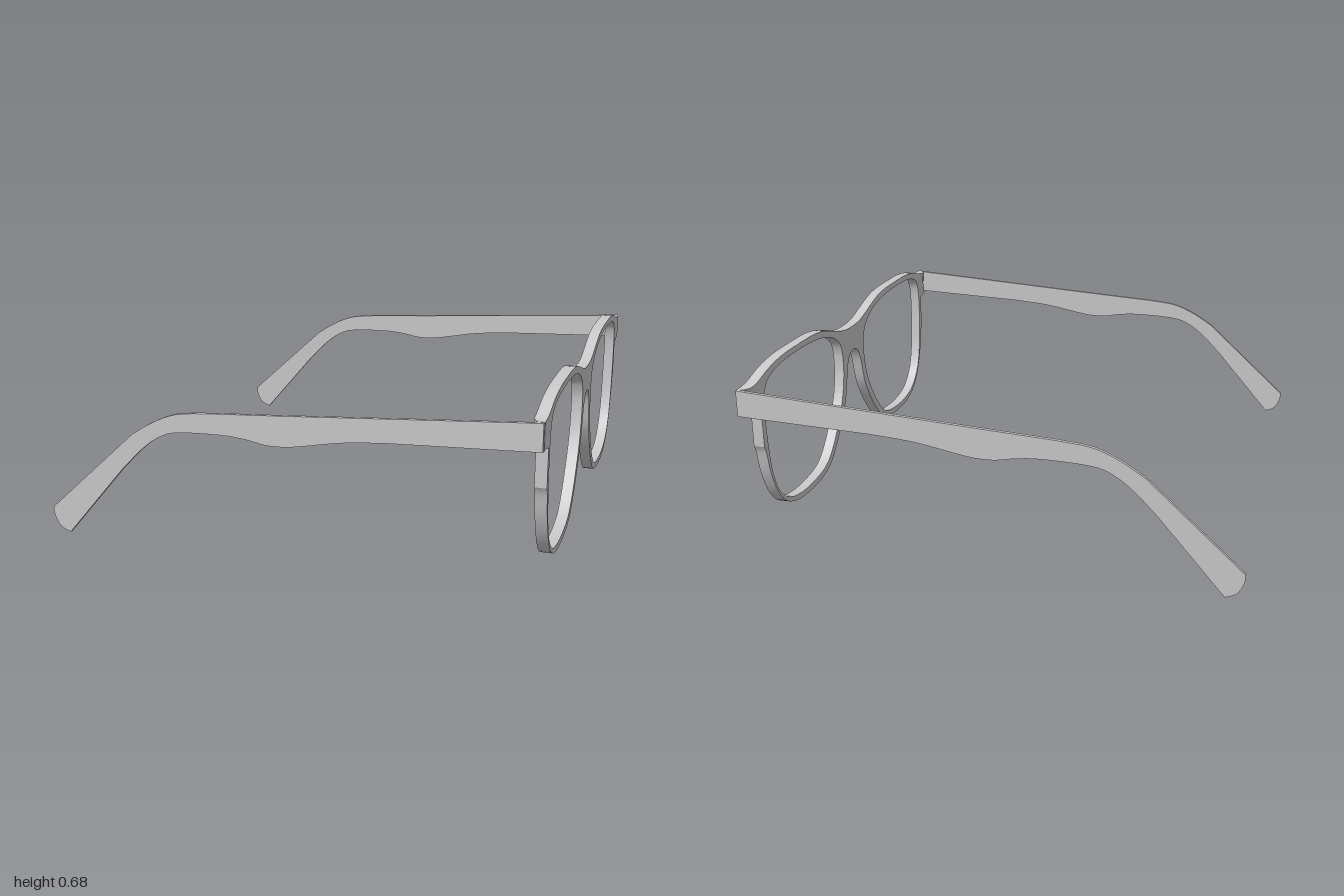
import * as THREE from 'three';
import { toCreasedNormals } from 'three/addons/utils/BufferGeometryUtils.js';

const material = new THREE.MeshStandardMaterial({ color: 0xcccccc });
const vec = (pts) => pts.map(([x, y]) => new THREE.Vector2(x, y));
const flip = (pts) => pts.map(([x, y]) => [-x, y]).reverse();

// Chain of smooth runs joined by straight lines or corners
function trace(path, runs) {
  path.moveTo(...runs[0][0]);
  runs.forEach((run, i) => {
    if (i) path.lineTo(...run[0]);
    if (run.length > 2) path.splineThru(vec(run.slice(1)));
    else if (run.length === 2) path.lineTo(...run[1]);
  });
  path.closePath();
  return path;
}

function extrude(shape, depth) {
  return new THREE.ExtrudeGeometry(shape, { depth, bevelEnabled: false, curveSegments: 3 });
}

// Front frame: brow, rims and bridge in one outline with two lens openings
function createFrame() {
  const brow = [[0.06, 0.602], [0.12, 0.612], [0.2, 0.635], [0.3, 0.662], [0.4, 0.675], [0.54, 0.677],
    [0.68, 0.675], [0.8, 0.66], [0.9, 0.633], [0.95, 0.626], [0.986, 0.625]];
  const lug = [[0.986, 0.52], [0.955, 0.522], [0.895, 0.508]];
  const rim = [[0.895, 0.36], [0.882, 0.33], [0.86, 0.235], [0.81, 0.13], [0.74, 0.06], [0.64, 0.024],
    [0.52, 0.015], [0.4, 0.024], [0.31, 0.055], [0.24, 0.115], [0.17, 0.2], [0.115, 0.29],
    [0.092, 0.36], [0.075, 0.425], [0.05, 0.47], [0.025, 0.487]];
  const lens = [[0.12, 0.5], [0.12, 0.42], [0.142, 0.325], [0.19, 0.235], [0.27, 0.13], [0.36, 0.063],
    [0.5, 0.042], [0.62, 0.045], [0.72, 0.07], [0.8, 0.135], [0.842, 0.23], [0.86, 0.34], [0.867, 0.45],
    [0.863, 0.54], [0.845, 0.595], [0.8, 0.627], [0.7, 0.647], [0.54, 0.652], [0.4, 0.647],
    [0.29, 0.63], [0.2, 0.6], [0.14, 0.557]];

  const shape = trace(new THREE.Shape(), [
    [...flip(brow), [0, 0.6], ...brow],
    ...lug.map((p) => [p]),
    [...rim, [0, 0.49], ...flip(rim)],
    ...flip(lug).map((p) => [p]),
  ]);
  for (const pts of [lens, flip(lens)]) {
    shape.holes.push(trace(new THREE.Path(), [[...pts, pts[0]]]));
  }

  const geometry = extrude(shape, 0.045);
  geometry.rotateY(Math.PI / 2).translate(0.92, 0, 0);
  // Chamfer the back of each lug where the temple folds
  const pos = geometry.attributes.position;
  for (let i = 0; i < pos.count; i++) {
    const t = THREE.MathUtils.clamp((Math.abs(pos.getZ(i)) - 0.955) / 0.031, 0, 1);
    if (pos.getX(i) < 0.93) pos.setX(i, 0.92 + 0.02 * t);
  }
  const mesh = new THREE.Mesh(toCreasedNormals(geometry, 0.5), material);
  mesh.name = 'frontFrame';
  return mesh;
}

// Temple arm: thin plate with a curved ear hook and a rounded tip
function createTemple(side) {
  const shape = trace(new THREE.Shape(), [
    [[0.963, 0.625], [0, 0.562]],
    [[-0.28, 0.545], [-0.41, 0.53], [-0.51, 0.49], [-0.6, 0.435]],
    [[-0.97, 0.1], [-0.966, 0.065], [-0.942, 0.022], [-0.9, 0.002]],
    [[-0.65, 0.29], [-0.56, 0.38], [-0.48, 0.437], [-0.4, 0.46], [-0.23, 0.467], [-0.13, 0.46],
      [-0.06, 0.447], [0, 0.445], [0.07, 0.452], [0.25, 0.485], [0.42, 0.5]],
    [[0.963, 0.522]],
  ]);
  const geometry = extrude(shape, 0.015).translate(0, 0, side > 0 ? 0.985 : -1);
  const mesh = new THREE.Mesh(toCreasedNormals(geometry, 0.5), material);
  mesh.name = side > 0 ? 'templeFrontSide' : 'templeBackSide';
  return mesh;
}

export function createModel() {
  const group = new THREE.Group();
  group.name = 'eyeglasses';
  group.add(createFrame(), createTemple(1), createTemple(-1));
  return group;
}
